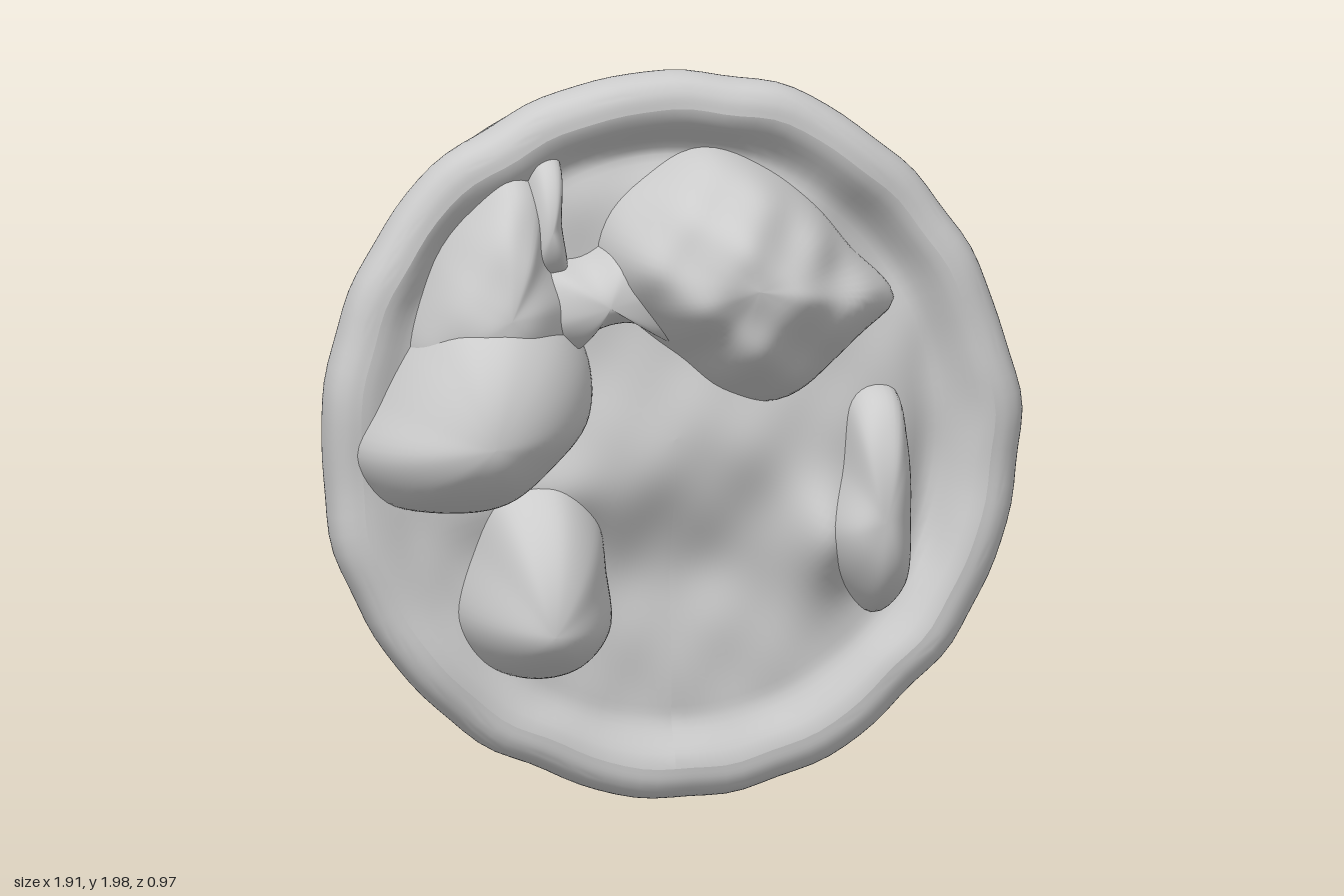
import * as THREE from 'three';
import { toCreasedNormals } from 'three/addons/utils/BufferGeometryUtils.js';

const material = new THREE.MeshStandardMaterial({ color: 0xcccccc, roughness: 0.9 });
const CY = 1; // height of the bowl's centre
const RIM = 0.9; // radius where the rim meets the contents

const { smoothstep, lerp } = THREE.MathUtils;
const vec = ([x, y]) => new THREE.Vector2(x, y);
const bell = (x, y, cx, cy, sx, sy) => Math.exp(-(((x - cx) / sx) ** 2) - ((y - cy) / sy) ** 2);
const bumps = (x, y) => Math.sin(24 * x + 3 * y) * Math.sin(21 * y - 4 * x + 1);

// Irregular outline and height of the rim
const wobble = (a) =>
  0.004 * Math.sin(11 * a + 1) + 0.004 * Math.sin(17 * a) + 0.006 * Math.sin(5 * a + 2) + 0.002 * Math.sin(26 * a);
const rimLift = (x, a) => 0.025 * x + 0.006 * Math.sin(7 * a) + 0.004 * Math.sin(15 * a);

// Turns a lathe so its axis is z, then moves each vertex by a rule
function turned(points, rule) {
  const geometry = new THREE.LatheGeometry(points, 120).rotateX(Math.PI / 2);
  const pos = geometry.attributes.position;
  for (let i = 0; i < pos.count; i++) {
    const [x, y, z] = rule(pos.getX(i), pos.getY(i), pos.getZ(i));
    pos.setXYZ(i, x, y + CY, z);
  }
  geometry.computeVertexNormals();
  return geometry;
}

// Lathed bowl: flat foot, round shoulder (softer on the left side), wavy rim
function bowlGeometry() {
  const wall = new THREE.SplineCurve([
    [0.61, -0.49], [0.615, -0.465], [0.67, -0.437], [0.78, -0.425], [0.87, -0.37], [0.925, -0.28], [0.945, -0.2],
    [0.955, -0.12], [0.985, -0.04], [0.99, 0.03], [0.975, 0.085], [0.94, 0.112], [RIM, 0.118],
  ].map(vec)).getPoints(52);
  const geometry = turned([vec([0, -0.49])].concat(wall), (x, y, z) => {
    const r = Math.hypot(x, y);
    const a = Math.atan2(y, x);
    const outer = smoothstep(r, 0.62, 0.9);
    const front = smoothstep(z, -0.2, 0.05) * outer;
    const shoulder = smoothstep(r, 0.61, 0.75) * (1 - smoothstep(z, -0.42, -0.2));
    const s = 1 + wobble(a) * front - 0.08 * shoulder * Math.max(0, x / r);
    return [x * s * (1 - 0.04 * outer), y * s, z + front * rimLift(x, a)];
  });
  return toCreasedNormals(geometry, 0.7);
}

// Uneven surface of the contents, with pockets around the upper edge
function floorHeight(x, y) {
  return 0.055
    + 0.07 * bell(x, y, 0, 0.98, 0.5, 0.2)
    + 0.12 * bell(x, y, 0.42, 0.72, 0.1, 0.14)
    + 0.06 * bell(x, y, -0.35, 0.85, 0.25, 0.12)
    - 0.13 * bell(x, y, -0.65, 1.56, 0.15, 0.18)
    - 0.07 * bell(x, y, 0.02, 1.78, 0.4, 0.1)
    - 0.05 * bell(x, y, 0.6, 1.52, 0.14, 0.2)
    - 0.05 * bell(x, y, 0.7, 0.85, 0.06, 0.3)
    - 0.03 * bell(x, y, 0.02, 0.62, 0.2, 0.12)
    + 0.003 * bumps(x, y);
}

// Contents, rising smoothly into the rim
function fillingGeometry() {
  const radii = Array.from({ length: 46 }, (_, i) => new THREE.Vector2(RIM * (1 - i / 45), 0));
  return turned(radii, (x, y) => {
    const a = Math.atan2(y, x);
    const edge = smoothstep(Math.hypot(x, y), 0.76, RIM);
    const s = 1 + wobble(a) * edge;
    const [px, py] = [x * s * 0.96, y * s];
    return [px, py, lerp(floorHeight(px, py + CY), 0.118 + rimLift(x, a), edge)];
  });
}

// Mound: a counter-clockwise outline lofted towards a peak [x, y, z].
// power above 1 makes it pointed, below 1 blunt; inset below 1 steepens the sides.
function moundGeometry({ outline, peak, power = 1, rough = 0, base = -0.06, inset = 1 }) {
  const sides = 72;
  const rings = 28;
  const curve = new THREE.CatmullRomCurve3(outline.map(([x, y]) => new THREE.Vector3(x, y, 0)), true);
  const edge = curve.getSpacedPoints(sides).slice(0, sides);
  const positions = [];
  const indices = [];
  for (let i = 0; i <= rings; i++) {
    const a = (i / rings) * (Math.PI / 2);
    const k = i === rings ? 0 : Math.cos(a) ** inset;
    const h = Math.sin(a) ** power;
    edge.forEach((p, j) => {
      const x = lerp(peak[0], p.x, k);
      const y = lerp(peak[1], p.y, k);
      positions.push(x, y, lerp(base, peak[2], h) + rough * bumps(x, y) * Math.sin(2 * a));
      if (i < rings) {
        const n = (j + 1) % sides;
        const [q, b, c, d] = [i * sides + j, i * sides + n, (i + 1) * sides + n, (i + 1) * sides + j];
        indices.push(q, b, c, q, c, d);
      }
    });
  }
  const geometry = new THREE.BufferGeometry();
  geometry.setAttribute('position', new THREE.Float32BufferAttribute(positions, 3));
  geometry.setIndex(indices);
  geometry.computeVertexNormals();
  return geometry;
}

const mounds = {
  // Thick lower end of the long lobe
  lobeBody: {
    outline: [[-0.88, 0.97], [-0.8, 0.84], [-0.64, 0.8], [-0.46, 0.82], [-0.32, 0.93], [-0.22, 1.06], [-0.22, 1.22],
      [-0.3, 1.36], [-0.45, 1.44], [-0.6, 1.4], [-0.71, 1.28], [-0.81, 1.12]],
    peak: [-0.55, 1.03, 0.45], power: 0.95,
  },
  // Tail of the lobe, running up to the rim
  lobeTail: {
    outline: [[-0.72, 1.2], [-0.5, 1.08], [-0.28, 1.2], [-0.26, 1.38], [-0.34, 1.52], [-0.36, 1.7], [-0.45, 1.74],
      [-0.56, 1.63], [-0.66, 1.46]],
    peak: [-0.48, 1.36, 0.31], power: 0.95, rough: 0.012,
  },
  // Thin upright flap beside the tail
  flap: {
    outline: [[-0.4, 1.42], [-0.29, 1.42], [-0.3, 1.6], [-0.31, 1.78], [-0.37, 1.78], [-0.42, 1.6]],
    peak: [-0.35, 1.58, 0.2], power: 0.8,
  },
  // Saddle between the lobe and the large lump
  saddle: {
    outline: [[-0.45, 1.3], [-0.3, 1.22], [-0.22, 1.29], [-0.1, 1.31], [0.05, 1.24], [0.1, 1.45], [-0.1, 1.58],
      [-0.25, 1.5], [-0.4, 1.48]],
    peak: [-0.2, 1.38, 0.25], power: 0.8,
  },
  // Large knobbly lump with a pointed side
  largeLump: {
    outline: [[0.62, 1.36], [0.5, 1.5], [0.4, 1.62], [0.27, 1.72], [0.1, 1.78], [-0.06, 1.71], [-0.17, 1.62], [-0.21, 1.5],
      [-0.17, 1.37], [-0.07, 1.28], [0.02, 1.21], [0.13, 1.12], [0.26, 1.08], [0.38, 1.13], [0.51, 1.25]],
    peak: [0.17, 1.45, 0.48], power: 0.95, rough: 0.028,
  },
  // Pointed knob with a shoulder running up towards the lobe
  smallKnob: {
    outline: [[-0.59, 0.51], [-0.52, 0.39], [-0.39, 0.34], [-0.25, 0.37], [-0.16, 0.48], [-0.17, 0.64], [-0.2, 0.8],
      [-0.32, 0.92], [-0.48, 0.88], [-0.55, 0.7]],
    peak: [-0.38, 0.51, 0.42], power: 1.1,
  },
  // Narrow upright slab near the rim, flaring at its lower inner side
  slab: {
    outline: [[0.49, 1.09], [0.46, 0.9], [0.41, 0.73], [0.46, 0.59], [0.55, 0.5], [0.63, 0.57], [0.65, 0.8], [0.64, 1.0],
      [0.61, 1.12], [0.54, 1.13]],
    peak: [0.55, 0.78, 0.29], power: 0.65, inset: 0.8, rough: 0.004,
  },
};

export function createModel() {
  const model = new THREE.Group();
  const add = (name, geometry) => {
    const mesh = new THREE.Mesh(geometry, material);
    mesh.name = name;
    model.add(mesh);
  };
  add('bowl', bowlGeometry());
  add('filling', fillingGeometry());
  for (const [name, options] of Object.entries(mounds)) add(name, moundGeometry(options));
  return model;
}
